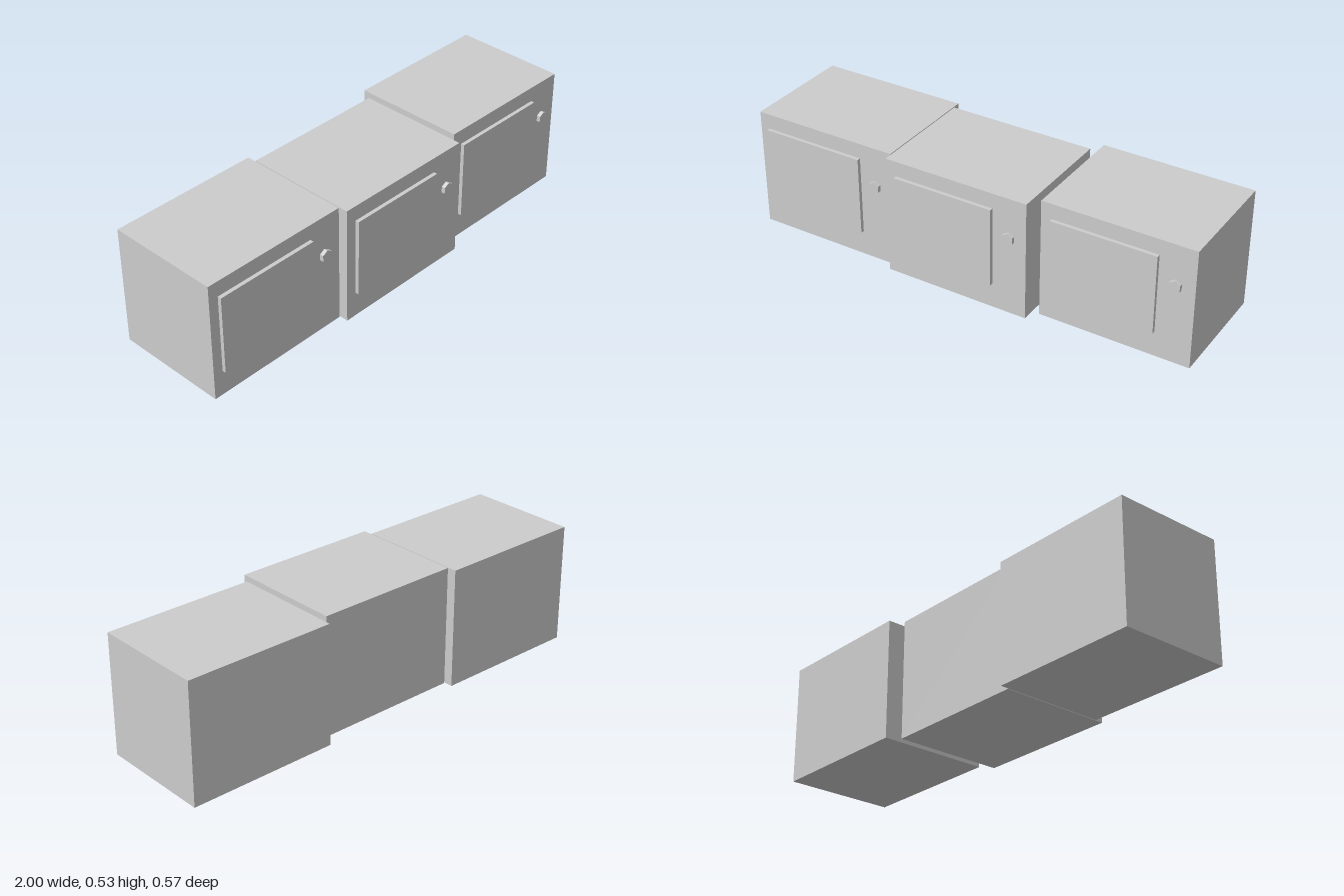
import * as THREE from 'three';

const HEIGHT = 0.528;
const DEPTH = 0.495;
const RELIEF = 0.0165; // how far doors and knobs stand out

// x range of each cabinet, its front plane, door x range and knob x
const CABINETS = [
  { name: 'rightCabinet', x: [-1, -0.341], front: 0.23, door: [-0.957, -0.493], knob: -0.42 },
  { name: 'middleCabinet', x: [-0.337, 0.311], front: 0.268, door: [-0.289, 0.16], knob: 0.235 },
  { name: 'leftCabinet', x: [0.343, 1], front: 0.2125, door: [0.39, 0.846], knob: 0.92 },
];

export function createModel() {
  const model = new THREE.Group();
  model.name = 'cabinetRow';
  const grey = new THREE.MeshStandardMaterial({ color: 0xcccccc, flatShading: true });
  grey.name = 'lightGrey';

  // Box given by its extents on each axis
  const addBox = (parent, name, [x0, x1], [y0, y1], [z0, z1]) => {
    const mesh = new THREE.Mesh(new THREE.BoxGeometry(x1 - x0, y1 - y0, z1 - z0), grey);
    mesh.position.set((x0 + x1) / 2, (y0 + y1) / 2, (z0 + z1) / 2);
    mesh.name = name;
    parent.add(mesh);
  };

  for (const c of CABINETS) {
    const cabinet = new THREE.Group();
    cabinet.name = c.name;
    addBox(cabinet, 'body', c.x, [0, HEIGHT], [c.front - DEPTH, c.front]);
    addBox(cabinet, 'door', c.door, [0.112, 0.461], [c.front, c.front + RELIEF]);

    // Six-sided knob with a corner pointing up
    const knob = new THREE.Mesh(new THREE.CylinderGeometry(0.027, 0.027, RELIEF, 6), grey);
    knob.rotation.x = Math.PI / 2;
    knob.position.set(c.knob, 0.352, c.front + RELIEF / 2);
    knob.name = 'knob';
    cabinet.add(knob);
    model.add(cabinet);
  }
  return model;
}
